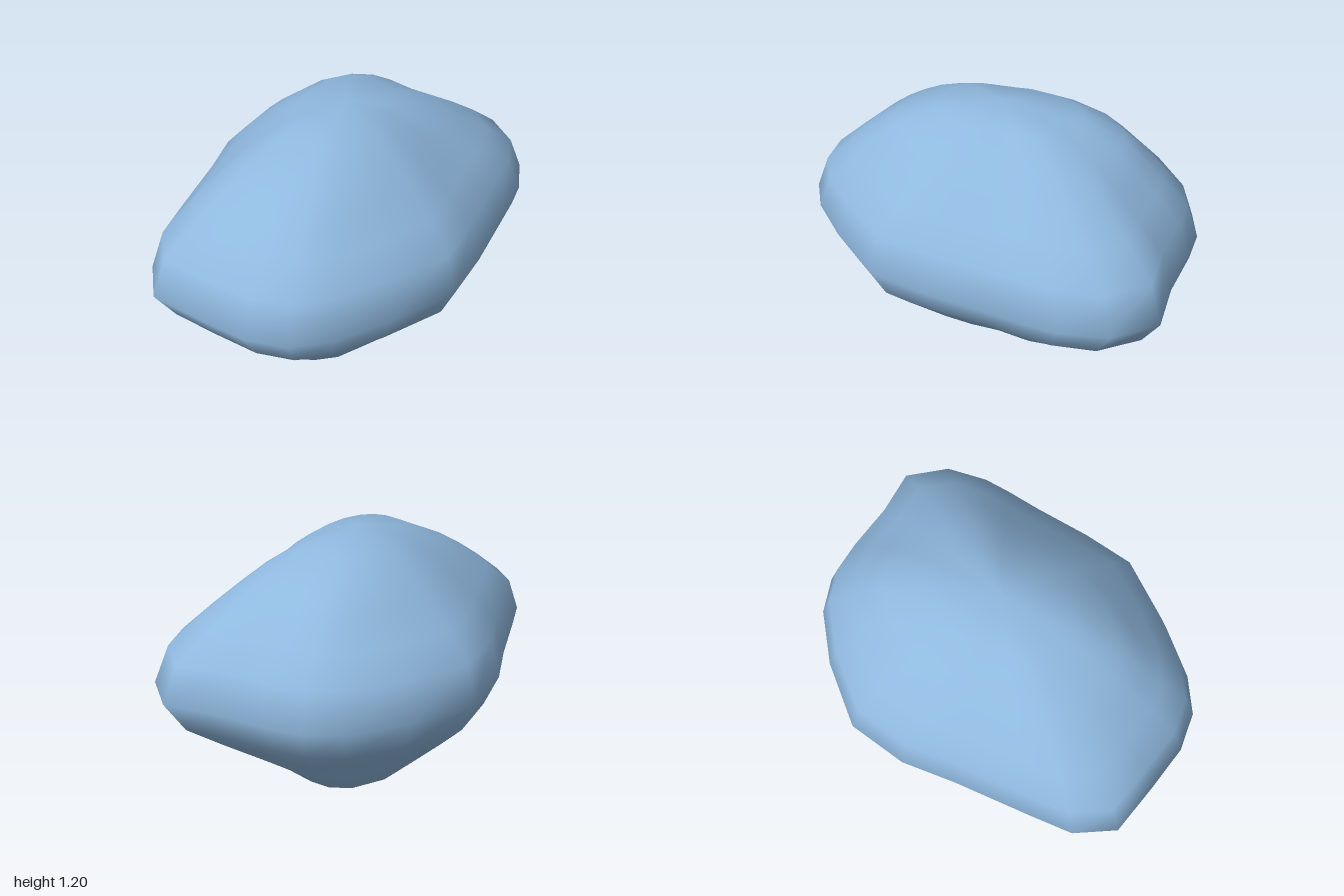
import * as THREE from 'three';

// Widest horizontal outline of the stone, as x, z pairs
const OUTLINE = [
  [1, 0.03], [0.93, 0.24], [0.78, 0.38], [0.66, 0.45], [0.5, 0.53], [0.24, 0.66],
  [0, 0.76], [-0.32, 0.73], [-0.57, 0.68], [-0.73, 0.6], [-0.84, 0.46], [-0.92, 0.25],
  [-1, 0.02], [-0.91, -0.16], [-0.75, -0.28], [-0.46, -0.49], [-0.26, -0.65],
  [0, -0.765], [0.32, -0.72], [0.57, -0.63], [0.7, -0.52], [0.78, -0.38], [0.88, -0.16],
];

// Rings from bottom to top: outline scale, height
const RINGS = [
  [0.29, 0.045], [0.5, 0.15], [0.63, 0.25], [0.76, 0.35], [0.91, 0.47], [1, 0.62],
  [0.93, 0.78], [0.78, 0.89], [0.64, 0.98], [0.5, 1.06], [0.29, 1.15],
];

// Broad corners are fuller near the poles; the flat front side is slightly hollow
function ringScale(s, x, z) {
  const diagonal = (-2 * x * z) / (x * x + z * z);
  if (diagonal > 0) return s * (1 + (z < 0 ? 3 : 2.2) * s * (1 - s) ** 3 * diagonal);
  const hollow = z > 0 ? 0.3 : 0;
  return s * (1 - hollow * s * (1 - s) * diagonal ** 2);
}

function stoneGeometry() {
  const n = OUTLINE.length;
  const positions = [];
  const index = [];

  for (const [s, y] of RINGS) {
    for (const [x, z] of OUTLINE) {
      const k = ringScale(s, x, z);
      positions.push(x * k, y, z * k);
    }
  }
  const bottom = positions.length / 3;
  const top = bottom + 1;
  const last = (RINGS.length - 1) * n;
  positions.push(0, 0, 0.02, 0, 1.2, 0.02);

  for (let j = 0; j < n; j++) {
    const j2 = (j + 1) % n;
    for (let i = 0; i < RINGS.length - 1; i++) {
      const a = i * n + j, b = i * n + j2;
      index.push(a, a + n, b, b, a + n, b + n);
    }
    index.push(bottom, j, j2, top, last + j2, last + j);
  }

  const geometry = new THREE.BufferGeometry();
  geometry.setAttribute('position', new THREE.Float32BufferAttribute(positions, 3));
  geometry.setIndex(index);
  geometry.computeVertexNormals();
  return geometry;
}

export function createModel() {
  const group = new THREE.Group();
  group.name = 'stone';
  const blue = new THREE.MeshStandardMaterial({ color: 0x8fb8de });
  blue.name = 'pale blue';
  const body = new THREE.Mesh(stoneGeometry(), blue);
  body.name = 'stoneBody';
  group.add(body);
  return group;
}
